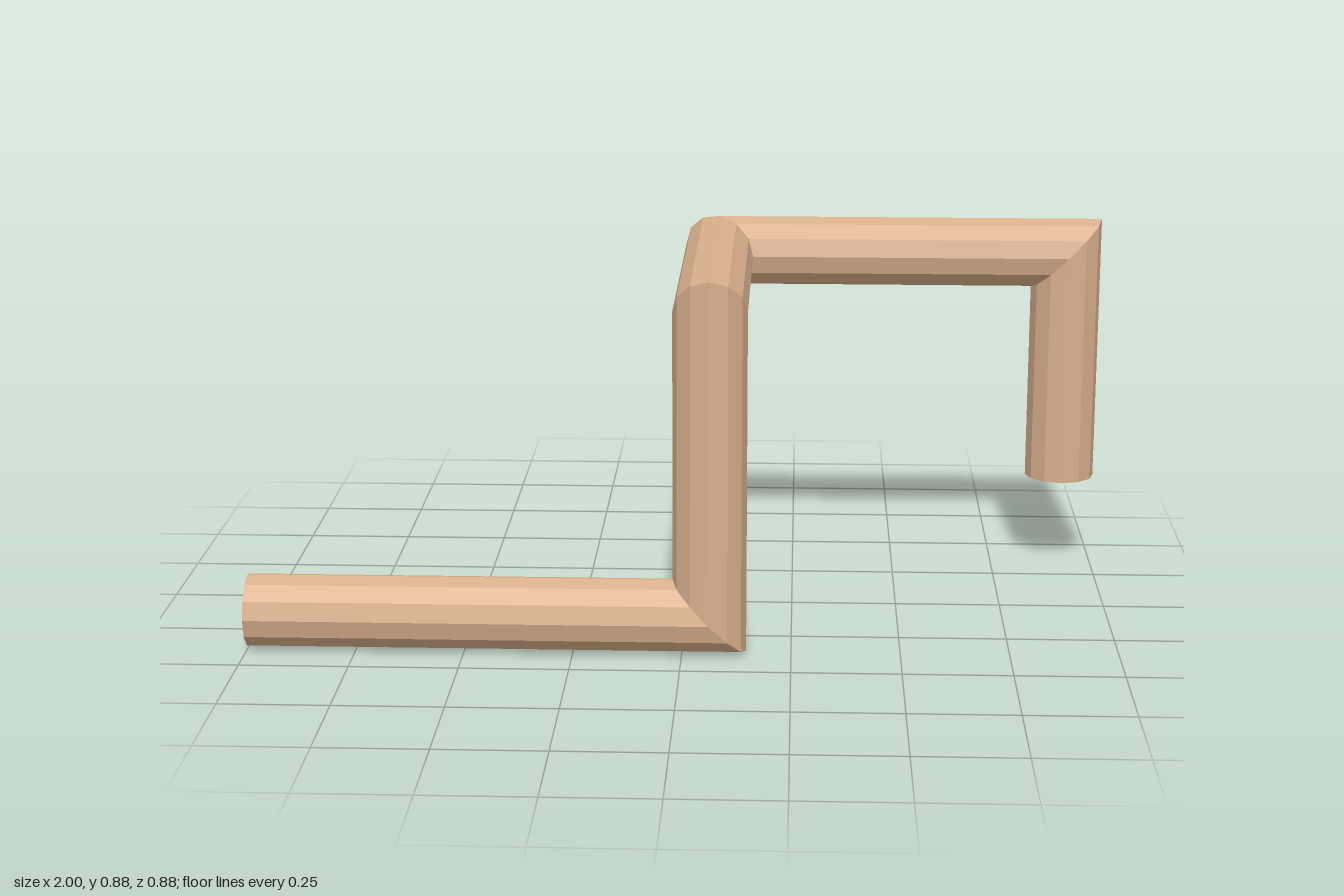
import * as THREE from 'three';

const RADIUS = 0.0845;
const SIDES = 12;

// Geometry from a list of rings: a faceted wall between neighbouring rings
function loftRings(rings) {
  const pos = [];
  const tri = (...pts) => pts.forEach((p) => pos.push(p.x, p.y, p.z));
  for (let i = 0; i < rings.length - 1; i++) {
    for (let j = 0; j < SIDES; j++) {
      const k = (j + 1) % SIDES;
      const [a, b, c, d] = [rings[i][j], rings[i][k], rings[i + 1][k], rings[i + 1][j]];
      tri(a, b, c);
      tri(a, c, d);
    }
  }
  const geo = new THREE.BufferGeometry();
  geo.setAttribute('position', new THREE.Float32BufferAttribute(pos, 3));
  geo.computeVertexNormals();
  return geo;
}

export function createModel() {
  const group = new THREE.Group();
  group.name = 'bentPipe';
  const material = new THREE.MeshStandardMaterial({ color: 0xd9b08c, flatShading: true });
  const add = (name, geo) => {
    const mesh = new THREE.Mesh(geo, material);
    mesh.name = name;
    group.add(mesh);
  };

  // Centre line of the pipe, with a right-angled corner at each inner point
  const path = [
    [-1, RADIUS, 0.355],
    [0.0625, RADIUS, 0.355],
    [0.0625, 0.796, 0.355],
    [0.0625, 0.796, -0.355],
    [0.9155, 0.796, -0.355],
    [0.9155, 0.23, -0.355],
  ].map((p) => new THREE.Vector3(...p));
  const dirs = path.slice(1).map((p, i) => p.clone().sub(path[i]).normalize());

  // Cross-section offsets at the start, carried along the path
  let offsets = Array.from({ length: SIDES }, (_, j) => {
    const a = (j / SIDES) * Math.PI * 2;
    return new THREE.Vector3(0, Math.cos(a) * RADIUS, Math.sin(a) * RADIUS);
  });

  // Slide each offset along the pipe onto the mitre plane of the joint
  const rings = path.map((p, i) => {
    const dIn = dirs[Math.max(i - 1, 0)];
    const dOut = dirs[Math.min(i, dirs.length - 1)];
    const normal = dIn.clone().add(dOut);
    const mitred = offsets.map((o) =>
      o.clone().addScaledVector(dIn, -o.dot(normal) / dIn.dot(normal)));
    offsets = mitred.map((o) => o.clone().addScaledVector(dOut, -o.dot(dOut)));
    return mitred.map((o) => o.add(p));
  });

  // Straight pipe sections
  const names = ['lowerArm', 'upright', 'crossArm', 'upperArm', 'dropLeg'];
  names.forEach((name, i) => add(name, loftRings([rings[i], rings[i + 1]])));

  // Flat end caps, each closing to its centre point
  const point = (p) => Array(SIDES).fill(p);
  add('startCap', loftRings([point(path[0]), rings[0]]));
  add('endCap', loftRings([rings[5], point(path[5])]));

  return group;
}
